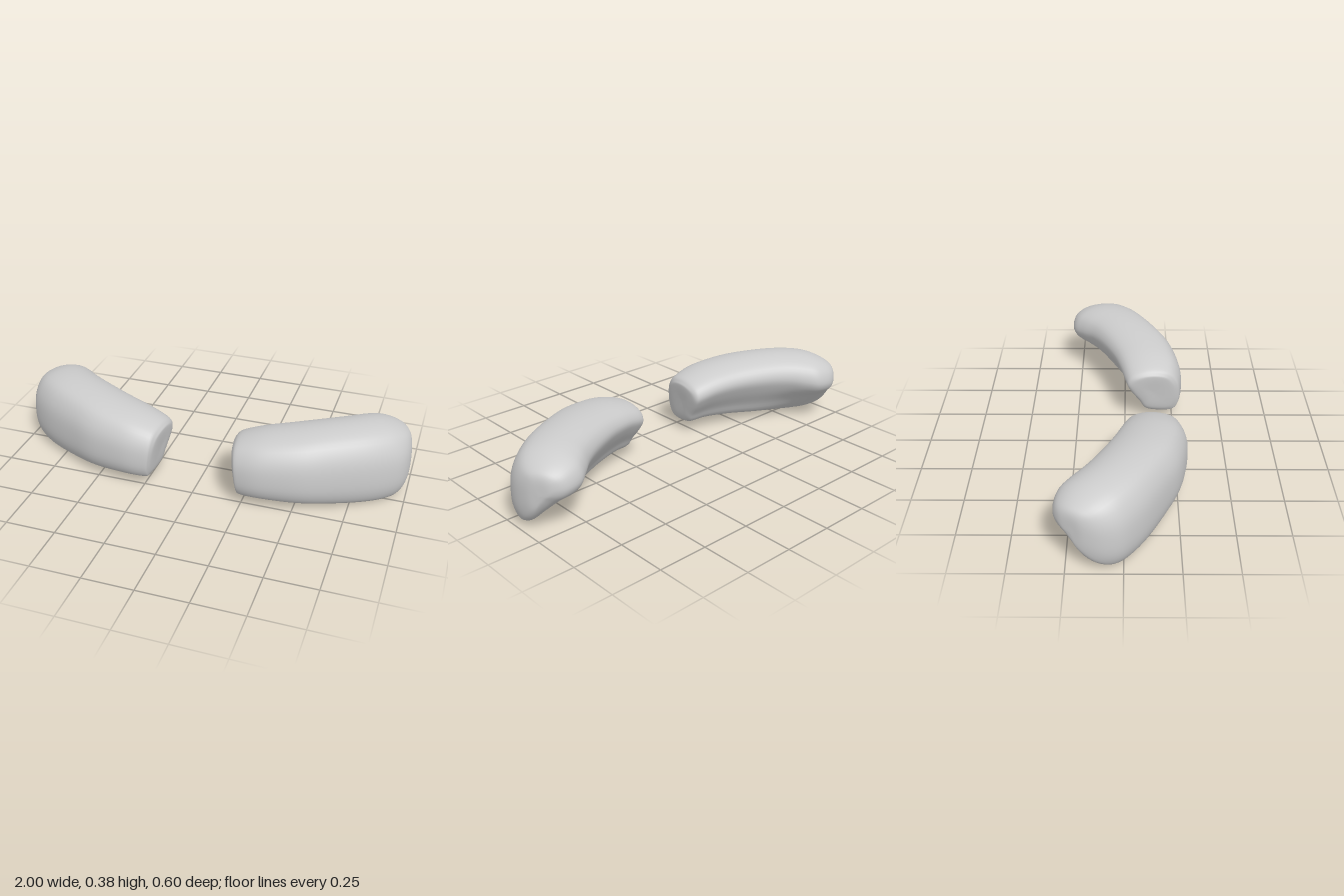
import * as THREE from 'three';
import { mergeVertices } from 'three/addons/utils/BufferGeometryUtils.js';

// Cross-sections, [back-to-front 0..1, bottom-to-top 0..1]
const TOP_AND_FRONT = [
  [0.27, 0.98], [0.55, 1], [0.81, 0.92], [0.955, 0.71], [1, 0.42], [0.975, 0.17], [0.88, 0.02],
];
// Outer end: high back nose over a straight sloped underside
const OUTER = [[0, 0.68], [0.07, 0.87], ...TOP_AND_FRONT, [0.73, 0.02], [0.5, 0.2], [0.27, 0.39], [0.06, 0.54]];
// Inner length: shallow groove along the back, nearly upright below it
const INNER = [[0, 0.72], [0.07, 0.88], ...TOP_AND_FRONT, [0.56, 0.01], [0.35, 0.08], [0.24, 0.27], [0.08, 0.52]];

// Stations from inner to outer end:
// back x, z, front x, z, bottom y, top y, lean of x with height, share of the outer section
const STATIONS = [
  [0.192, 0.15, 0.192, 0.15, 0.18, 0.18, 0, 0],
  [0.182, 0.075, 0.2, 0.23, 0.095, 0.262, 0.13, 0],
  [0.186, 0.024, 0.212, 0.272, 0.06, 0.287, 0.13, 0],
  [0.217, 0.005, 0.238, 0.29, 0.048, 0.312, 0.08, 0],
  [0.3, -0.02, 0.35, 0.299, 0.048, 0.343, 0, 0],
  [0.42, -0.06, 0.53, 0.265, 0.036, 0.364, 0, 0],
  [0.56, -0.125, 0.68, 0.197, 0.02, 0.376, 0, 0.1],
  [0.66, -0.185, 0.83, 0.115, 0.008, 0.378, 0, 0.35],
  [0.73, -0.245, 0.93, 0.04, 0.002, 0.37, 0, 0.75],
  [0.79, -0.29, 0.98, -0.02, 0.012, 0.352, 0, 1],
  [0.87, -0.3, 1.0, -0.09, 0.052, 0.322, 0, 1],
  [0.93, -0.272, 0.993, -0.165, 0.12, 0.285, 0, 1],
  [0.967, -0.222, 0.967, -0.222, 0.2, 0.2, 0, 1],
];

const AROUND = 52;
const ALONG = 60;

const closedOutline = (points) => new THREE.CatmullRomCurve3(
  points.map(([s, h]) => new THREE.Vector3(s, h, 0)), true);

// Lofts the blended sections through the stations; side is +1 or -1
function padGeometry(side) {
  const outer = closedOutline(OUTER);
  const inner = closedOutline(INNER);
  const positions = [];
  const index = [];
  for (let j = 0; j < AROUND; j++) {
    const pOuter = outer.getPoint(j / AROUND);
    const pInner = inner.getPoint(j / AROUND);
    const line = new THREE.CatmullRomCurve3(STATIONS.map(([bx, bz, fx, fz, y0, y1, lean, share]) => {
      const p = pInner.clone().lerp(pOuter, share);
      const y = y0 + (y1 - y0) * p.y;
      const x = bx + (fx - bx) * p.x - lean * (y - 0.18);
      return new THREE.Vector3(x, y, bz + (fz - bz) * p.x);
    }), false, 'catmullrom', 0.5);
    for (let i = 0; i <= ALONG; i++) {
      const q = line.getPoint(i / ALONG);
      positions.push(side * q.x, Math.max(q.y, 0), q.z);
    }
  }
  for (let j = 0; j < AROUND; j++) {
    for (let i = 0; i < ALONG; i++) {
      const a = j * (ALONG + 1) + i;
      const b = ((j + 1) % AROUND) * (ALONG + 1) + i;
      for (const [u, v, w] of [[a, b, a + 1], [b, b + 1, a + 1]]) {
        index.push(...(side > 0 ? [u, v, w] : [u, w, v]));
      }
    }
  }
  const geometry = new THREE.BufferGeometry();
  geometry.setAttribute('position', new THREE.Float32BufferAttribute(positions, 3));
  geometry.setIndex(index);
  // Weld the end poles so the caps shade smoothly
  const welded = mergeVertices(geometry, 1e-5);
  welded.computeVertexNormals();
  return welded;
}

export function createModel() {
  const group = new THREE.Group();
  const material = new THREE.MeshStandardMaterial({ color: 0xcccccc });
  for (const side of [1, -1]) {
    const pad = new THREE.Mesh(padGeometry(side), material);
    pad.name = side > 0 ? 'leftCurvedPad' : 'rightCurvedPad';
    group.add(pad);
  }
  return group;
}
